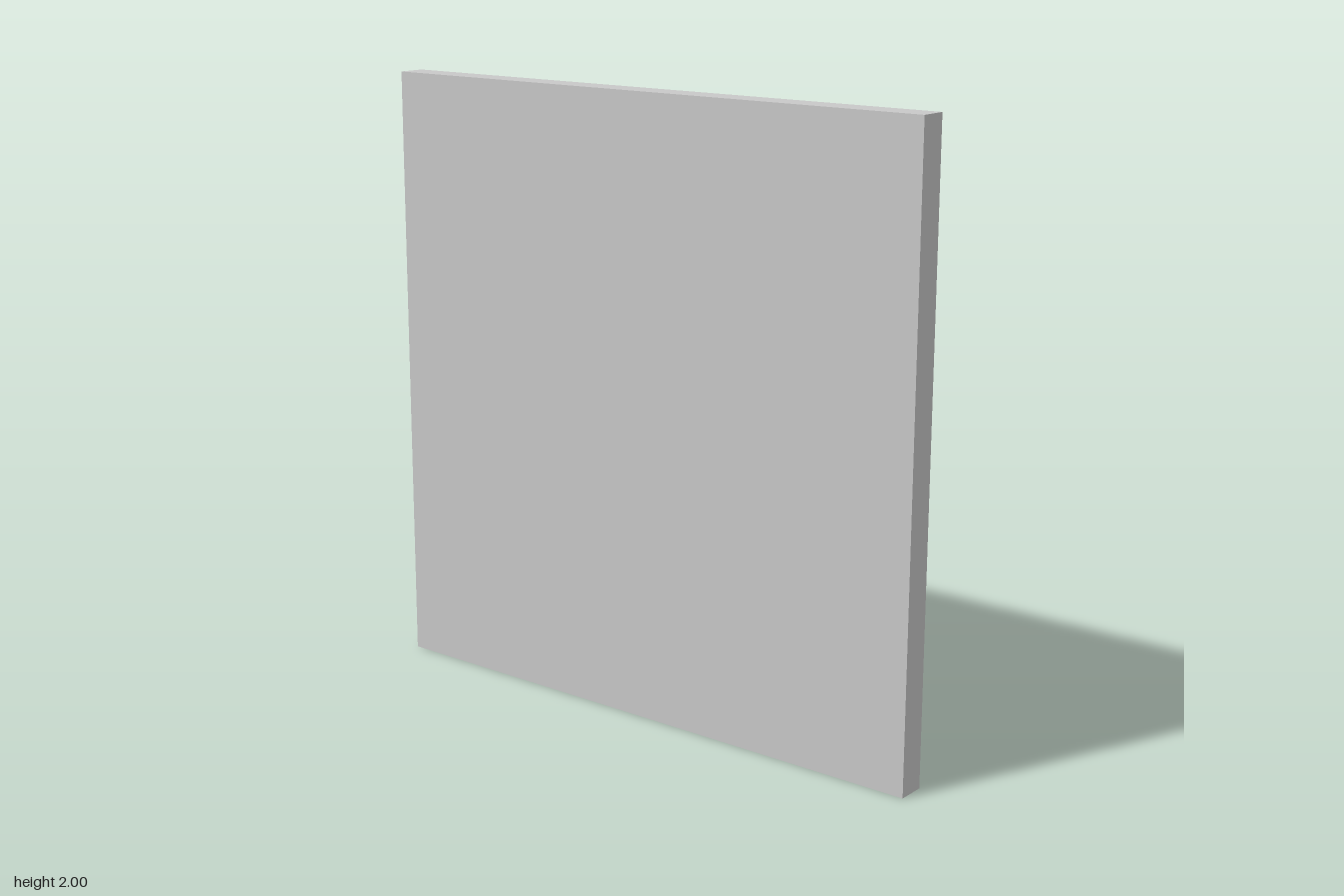
import * as THREE from 'three';

const grey = new THREE.MeshStandardMaterial({ color: 0xc8c8c8 });
grey.name = 'light grey';

const HALF = 0.046;   // half the panel thickness
const FLOOR = 0;      // z of the recessed back surface
const WALL = 0.03;    // rim width

function add(parent, name, geometry) {
  const mesh = new THREE.Mesh(geometry, grey);
  mesh.name = name;
  parent.add(mesh);
  return mesh;
}

// Straight square bar between two points of the panel plane
function bar(parent, name, [x0, y0], [x1, y1], width, z0, z1) {
  const length = Math.hypot(x1 - x0, y1 - y0);
  const mesh = add(parent, name, new THREE.BoxGeometry(length, width, z1 - z0));
  mesh.position.set((x0 + x1) / 2, (y0 + y1) / 2, (z0 + z1) / 2);
  mesh.rotation.z = Math.atan2(y1 - y0, x1 - x0);
}

// Plate symmetric about x = 0, given its right-hand outline from bottom to top
function plate(half, depth) {
  const outline = [...half, ...half.map(([x, y]) => [-x, y]).reverse()];
  const shape = new THREE.Shape(outline.map(([x, y]) => new THREE.Vector2(x, y)));
  return new THREE.ExtrudeGeometry(shape, { depth, bevelEnabled: false });
}

// Clip pointing along +y: a thin face plate with a ribbed head behind it
function clip() {
  const group = new THREE.Group();
  group.name = 'clip';
  const face = [[0.028, -0.065], [0.028, 0.005], [0.036, 0.008], [0.036, 0.022], [0.012, 0.055]];
  add(group, 'clipFace', plate(face, 0.014)).position.z = -0.042;
  for (let i = 0; i < 4; i++) {
    const inset = i % 2 ? 0 : 0.005;
    const head = [[0.036 - inset, 0.008], [0.036 - inset, 0.022], [0.012, 0.055 - inset]];
    add(group, 'clipRib', plate(head, 0.007)).position.z = -0.028 + i * 0.007;
  }
  return group;
}

// Rail carrying three clips, running along x
function rail(name, clipOffset) {
  const group = new THREE.Group();
  group.name = name;
  bar(group, 'rod', [-0.32, 0], [0.32, 0], 0.02, -0.032, -0.012);
  for (const x of [-0.3, 0, 0.3]) {
    const c = clip();
    c.position.set(x, clipOffset, 0);
    group.add(c);
  }
  return group;
}

export function createModel() {
  const model = new THREE.Group();
  model.name = 'panel';

  // Front plate
  add(model, 'frontPlate', new THREE.BoxGeometry(2, 2, HALF - FLOOR))
    .position.set(0, 1, (HALF + FLOOR) / 2);

  // Raised rim around the back
  const frame = new THREE.Shape();
  frame.moveTo(-1, 0).lineTo(1, 0).lineTo(1, 2).lineTo(-1, 2).closePath();
  const hole = new THREE.Path();
  const a = 1 - WALL;
  hole.moveTo(-a, WALL).lineTo(-a, 2 - WALL).lineTo(a, 2 - WALL).lineTo(a, WALL).closePath();
  frame.holes.push(hole);
  add(model, 'rim', new THREE.ExtrudeGeometry(frame, { depth: HALF + FLOOR, bevelEnabled: false }))
    .position.z = -HALF;

  // Bottom rail on two thin legs with thicker feet
  const bottom = rail('bottomRail', 0);
  bottom.position.set(0, 0.39, 0);
  for (const s of [-1, 1]) {
    bar(bottom, 'leg', [s * 0.325, -0.37], [s * 0.325, 0.01], 0.006, -0.012, 0.002);
    bar(bottom, 'foot', [s * 0.325, -0.37], [s * 0.325, -0.27], 0.012, -0.03, 0.002);
  }
  model.add(bottom);

  // Side rails with slanted struts back to the rim
  for (const s of [-1, 1]) {
    const side = rail(s > 0 ? 'leftRail' : 'rightRail', 0.022);
    side.position.set(s * 0.93, 1, 0);
    side.rotation.z = s * Math.PI / 2;
    for (const e of [-1, 1]) {
      bar(side, 'strut', [e * 0.54, -0.045], [e * 0.28, 0.012], 0.022, -0.032, -0.012);
    }
    model.add(side);
  }
  return model;
}
